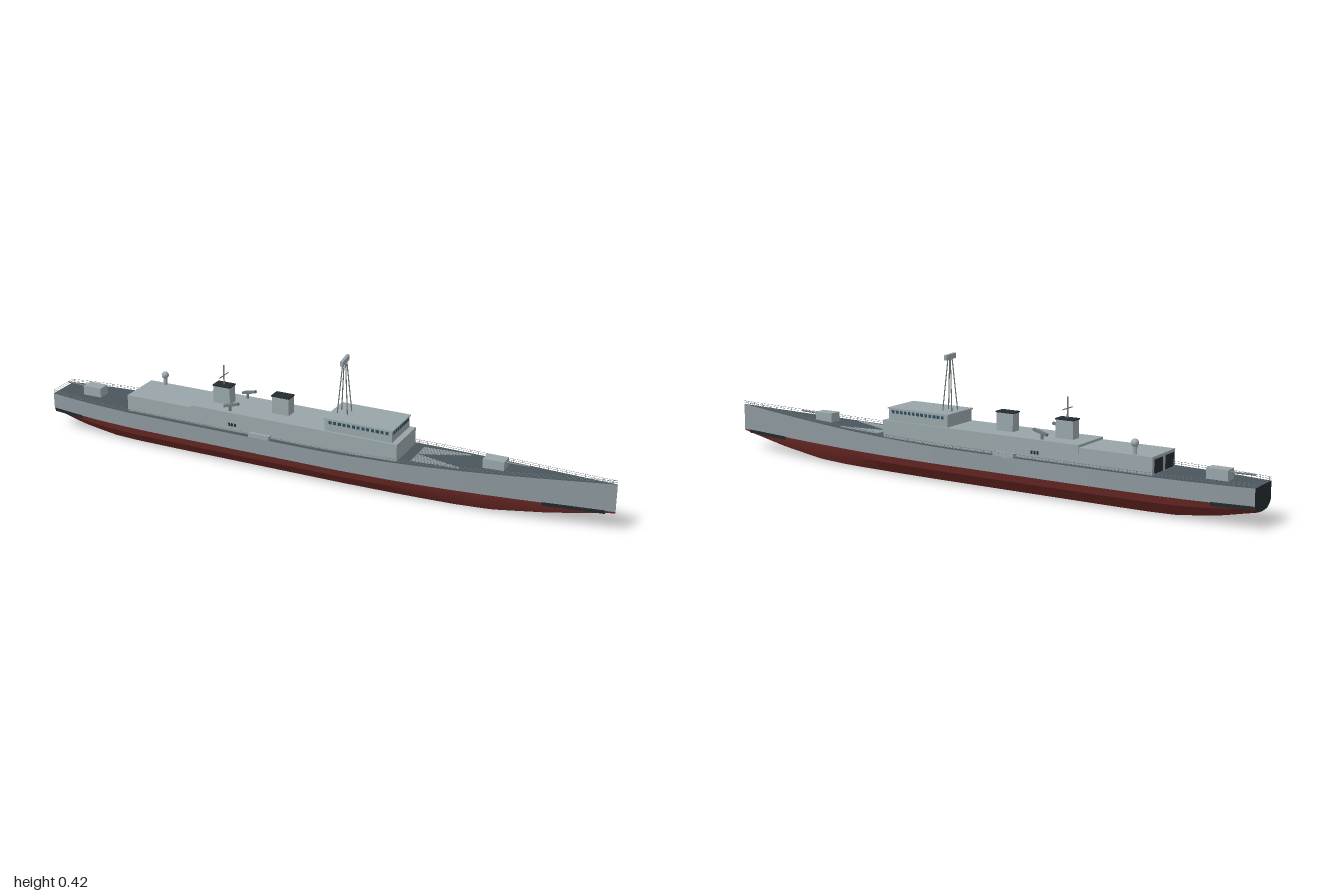
import * as THREE from 'three';
import { toCreasedNormals } from 'three/addons/utils/BufferGeometryUtils.js';

const paint = (color, side = THREE.FrontSide) => new THREE.MeshStandardMaterial({ color, side });
const GREY = paint(0x8b979c), HOUSE = paint(0x98a5a9), RED = paint(0x6e2a26);
const DECK = paint(0x4a555c), DARK = paint(0x232b30), GLASS = paint(0x2c4c5c);
const METAL = paint(0x70797c), BOOT = paint(0x1f272b, THREE.DoubleSide);

const WATER = 0.07;
const lerpTable = (t, x) => {
  for (let i = 1; i < t.length; i++) {
    if (x <= t[i][0]) {
      const [x0, y0] = t[i - 1], [x1, y1] = t[i];
      return y0 + (y1 - y0) * (x - x0) / (x1 - x0);
    }
  }
  return t[t.length - 1][1];
};
// half beam, keel height and deck height along the ship
const BEAM = [[-1, 0.06], [-0.9, 0.075], [-0.8, 0.086], [-0.68, 0.094], [-0.5, 0.097], [0.12, 0.097],
  [0.3, 0.09], [0.4, 0.083], [0.5, 0.073], [0.6, 0.061], [0.7, 0.047], [0.85, 0.024], [1, 0.001]];
const KEEL = [[-1, 0.046], [-0.88, 0.019], [-0.75, 0.002], [-0.65, 0], [0.5, 0], [0.62, 0.004], [0.8, 0.028], [1, 0.066]];
const beam = x => lerpTable(BEAM, x);
const keel = x => lerpTable(KEEL, x);
const deckY = x => 0.125 + 0.037 * Math.max(0, x) ** 1.5;

const bottomAt = x => {
  const b = beam(x), k = keel(x);
  const half = [[0.57, 0.11], [0.92, 0.65], [1, 1]].map(([z, f]) => [x, k + (WATER - k) * f, b * z]);
  return [...half.map(([a, y, z]) => [a, y, -z]).reverse(), [x, k, 0], ...half];
};

const stations = [];
for (let i = 0; i <= 80; i++) stations.push(-1 + i / 40);

// skin stretched over cross-sections
function skin(xs, section) {
  const rows = xs.map(section), n = rows[0].length, index = [];
  for (let i = 0; i < rows.length - 1; i++) {
    for (let j = 0; j < n - 1; j++) {
      const a = i * n + j, b = a + n;
      index.push(a, b, a + 1, b, b + 1, a + 1);
    }
  }
  const g = new THREE.BufferGeometry();
  g.setAttribute('position', new THREE.Float32BufferAttribute(rows.flat(2), 3));
  g.setIndex(index);
  return toCreasedNormals(g, 0.4);
}

function add(parent, name, geometry, material, x = 0, y = 0, z = 0) {
  const m = new THREE.Mesh(geometry, material);
  m.name = name;
  m.position.set(x, y, z);
  parent.add(m);
  return m;
}
// box given by its extents
const block = (p, name, mat, x0, x1, y0, y1, z0, z1) =>
  add(p, name, new THREE.BoxGeometry(x1 - x0, y1 - y0, z1 - z0), mat, (x0 + x1) / 2, (y0 + y1) / 2, (z0 + z1) / 2);

// thin round bar between two points
function bar(p, name, a, b, r, mat, sides = 6) {
  const A = new THREE.Vector3(...a), d = new THREE.Vector3(...b).sub(A);
  const m = add(p, name, new THREE.CylinderGeometry(r, r, d.length(), sides), mat);
  m.position.copy(A).addScaledVector(d, 0.5);
  m.quaternion.setFromUnitVectors(new THREE.Vector3(0, 1, 0), d.normalize());
  return m;
}

function buildHull(ship) {
  const hull = new THREE.Group();
  hull.name = 'hull';
  ship.add(hull);
  add(hull, 'bottom', skin(stations, bottomAt), RED);
  for (const s of [-1, 1]) {
    const side = x => {
      const c = [[x, WATER, s * beam(x)], [x, deckY(x), s * beam(x)]];
      return s > 0 ? c : c.reverse();
    };
    add(hull, 'side', skin(stations, side), GREY);
    // dark waterline patches at bow and stern
    for (const [x0, x1] of [[0.78, 0.97], [-0.995, -0.87]]) {
      const xs = [0, 1, 2, 3, 4, 5, 6].map(i => x0 + (x1 - x0) * i / 6);
      add(hull, 'waterlinePatch', skin(xs, x => [[x, 0.06, s * (beam(x) + 0.001)], [x, 0.072, s * (beam(x) + 0.001)]]), BOOT);
    }
  }
  add(hull, 'deck', skin(stations, x => [[x, deckY(x), beam(x)], [x, deckY(x), -beam(x)]]), DECK);
  // flat ends
  for (const [x, turn, name, mat] of [[-1, -1, 'transom', DARK], [1, 1, 'stem', GREY]]) {
    const pts = [...bottomAt(x), [x, deckY(x), beam(x)], [x, deckY(x), -beam(x)]];
    const cap = new THREE.ShapeGeometry(new THREE.Shape(pts.map(p => new THREE.Vector2(p[2], p[1]))));
    add(hull, name, cap.rotateY(turn * Math.PI / 2), mat, x);
  }
}

function buildRails(ship) {
  const rails = new THREE.Group();
  rails.name = 'deckRails';
  ship.add(rails);
  const edge = (x, s, h) => new THREE.Vector3(x, deckY(x) + h, s * Math.max(0, beam(x) - 0.002));
  for (const s of [-1, 1]) {
    for (const h of [0.006, 0.012]) {
      const path = new THREE.CatmullRomCurve3(stations.filter((_, i) => i % 2 === 0).map(x => edge(x, s, h)));
      add(rails, 'rail', new THREE.TubeGeometry(path, 80, 0.0005, 4), METAL);
    }
    for (let i = 0; i <= 66; i++) {
      const x = -0.995 + i * 0.03;
      bar(rails, 'post', edge(x, s, 0).toArray(), edge(x, s, 0.012).toArray(), 0.0006, METAL, 4);
    }
  }
  for (const h of [0.006, 0.012]) bar(rails, 'sternRail', edge(-1, -1, h).toArray(), edge(-1, 1, h).toArray(), 0.0005, METAL, 4);
}

function buildHouses(ship) {
  block(ship, 'aftDeckhouse', HOUSE, -0.68, -0.43, 0.115, 0.181, -0.077, 0.077);
  block(ship, 'mainDeckhouse', HOUSE, -0.43, 0.315, 0.115, 0.189, -0.078, 0.078);
  block(ship, 'bridge', HOUSE, 0.06, 0.295, 0.189, 0.228, -0.071, 0.071);
  block(ship, 'bridgeRoof', HOUSE, 0.056, 0.299, 0.228, 0.232, -0.074, 0.074);
  // bridge windows
  for (let i = 0; i < 8; i++) {
    const z = -0.056 + i * 0.016;
    block(ship, 'frontWindow', GLASS, 0.294, 0.297, 0.214, 0.225, z - 0.005, z + 0.005);
  }
  for (const s of [-1, 1]) {
    for (let i = 0; i < 13; i++) {
      const x = 0.08 + i * 0.0165;
      block(ship, 'sideWindow', GLASS, x - 0.005, x + 0.005, 0.214, 0.224, s * 0.0715 - 0.001, s * 0.0715 + 0.001);
    }
    block(ship, 'aftDoor', DARK, -0.682, -0.679, 0.128, 0.172, s * 0.037 - 0.027, s * 0.037 + 0.027);
    block(ship, 'sidePlatform', HOUSE, -0.205, -0.13, 0.12, 0.136, s * 0.087 - 0.01, s * 0.087 + 0.01);
    for (let i = 0; i < 3; i++)
      block(ship, 'vent', DARK, -0.288 + i * 0.011, -0.281 + i * 0.011, 0.142, 0.153, s * 0.078 - 0.001, s * 0.078 + 0.001);
    // angled launchers on the roof
    const launcher = block(ship, 'launcher', METAL, -0.311, -0.257, 0.207, 0.215, s * 0.062 - 0.006, s * 0.062 + 0.006);
    launcher.rotation.set(0, s * 0.1, 0.25);
    bar(ship, 'launcherStand', [-0.29, 0.188, s * 0.062], [-0.29, 0.209, s * 0.062], 0.005, METAL, 8);
  }
  // funnels with dark tops
  for (const x of [-0.345, -0.125]) {
    block(ship, 'funnel', HOUSE, x - 0.031, x + 0.031, 0.185, 0.248, -0.019, 0.019);
    block(ship, 'funnelTop', DARK, x - 0.033, x + 0.033, 0.248, 0.252, -0.021, 0.021);
  }
}

function buildMasts(ship) {
  // lattice mast with radar
  for (const sx of [-1, 1]) for (const sz of [-1, 1])
    bar(ship, 'mastLeg', [0.098 + sx * 0.018, 0.23, sz * 0.017], [0.098 + sx * 0.005, 0.402, sz * 0.005], 0.0018, METAL);
  const radar = block(ship, 'radar', HOUSE, 0.093, 0.103, 0.401, 0.418, -0.036, 0.036);
  radar.rotation.y = 0.15;
  // aft pole mast
  bar(ship, 'poleMast', [-0.345, 0.25, 0], [-0.345, 0.32, 0], 0.0025, METAL, 8);
  bar(ship, 'yard', [-0.345, 0.283, -0.03], [-0.345, 0.283, 0.03], 0.0018, METAL);
  // director
  bar(ship, 'directorStand', [-0.615, 0.18, -0.065], [-0.615, 0.21, -0.065], 0.007, HOUSE, 12);
  add(ship, 'directorDome', new THREE.SphereGeometry(0.0125, 16, 12), HOUSE, -0.615, 0.216, -0.065);
}

function buildForedeck(ship) {
  // guns: mount centre, deck height, barrel direction
  for (const [x, y, d, name] of [[0.615, 0.137, 1, 'bowGun'], [-0.863, 0.122, -1, 'sternGun']]) {
    const gun = new THREE.Group();
    gun.name = name;
    ship.add(gun);
    block(gun, 'mount', HOUSE, x - 0.035, x + 0.035, y, y + 0.036, -0.022, 0.022);
    bar(gun, 'barrel', [x + d * 0.03, y + 0.027, 0], [x + d * 0.113, y + 0.029, 0], 0.003, METAL, 8);
  }
  // gratings flanking a bare wedge of deck
  const X0 = 0.355, X1 = 0.515, W = 0.056;
  const wedge = x => 0.05 * (x - X0) / (X1 - X0);
  const top = x => deckY(x) + 0.002;
  for (const s of [-1, 1]) {
    for (let i = 0; i <= 16; i++) {
      const x = X0 + i * 0.01;
      bar(ship, 'grating', [x, top(x), s * wedge(x)], [x, top(x), s * W], 0.0014, HOUSE, 4);
    }
    for (let j = 1; j <= 8; j++) {
      const z = j * 0.007, x = Math.min(X1, X0 + z / 0.05 * (X1 - X0));
      bar(ship, 'grating', [X0, top(X0), s * z], [x, top(x), s * z], 0.0014, HOUSE, 4);
    }
  }
}

export function createModel() {
  const ship = new THREE.Group();
  ship.name = 'warship';
  buildHull(ship);
  buildRails(ship);
  buildHouses(ship);
  buildMasts(ship);
  buildForedeck(ship);
  return ship;
}
